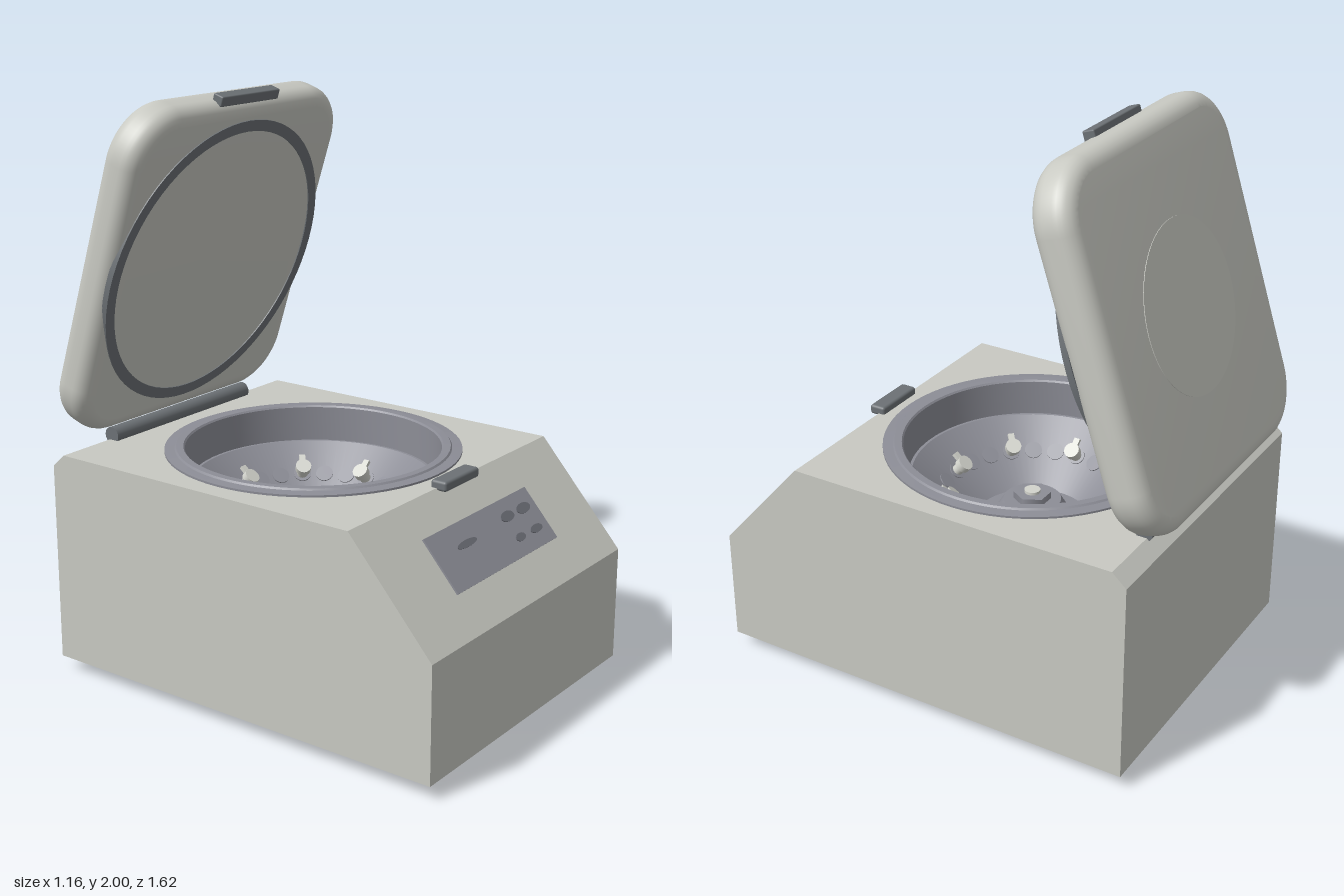
import * as THREE from 'three';
import { toCreasedNormals, mergeGeometries } from 'three/addons/utils/BufferGeometryUtils.js';
import { RoundedBoxGeometry } from 'three/addons/geometries/RoundedBoxGeometry.js';

const mat = (name, color) => {
  const m = new THREE.MeshStandardMaterial({ color });
  m.name = name;
  return m;
};

export function createModel() {
  const housing = mat('housing grey', 0xc8c9c2);
  const metal = mat('rotor metal', 0x8c8d96);
  const dark = mat('dark trim', 0x6c7175);
  const rubber = mat('rubber feet', 0x74757c);
  const pale = mat('tube white', 0xd2d3cc);
  const print = mat('button grey', 0x6b6d75);

  const model = new THREE.Group();
  const add = (name, geo, material, x = 0, y = 0, z = 0, parent = model) => {
    const mesh = new THREE.Mesh(geo, material);
    mesh.name = name;
    mesh.position.set(x, y, z);
    parent.add(mesh);
    return mesh;
  };
  const group = (name, parent = model) => {
    const g = new THREE.Group();
    g.name = name;
    parent.add(g);
    return g;
  };
  const lathe = (pts, segments = 72) =>
    toCreasedNormals(new THREE.LatheGeometry(pts.map(p => new THREE.Vector2(...p)), segments), 0.5);

  // Housing: side profile as [z, y], running from front bottom over the top to back bottom
  const W = 0.58, bowlZ = -0.07;
  const profile = [[0.81, 0.05], [0.81, 0.45], [0.5, 0.8], [-0.69, 0.8], [-0.74, 0.755], [-0.74, 0.05]];
  const panels = [];
  profile.forEach(([z0, y0], i) => {
    if (i === 2) return; // the top plate has a hole and is made below
    const [z1, y1] = profile[(i + 1) % profile.length];
    const a = [-W, y0, z0], b = [W, y0, z0], c = [W, y1, z1], d = [-W, y1, z1];
    const g = new THREE.BufferGeometry();
    g.setAttribute('position', new THREE.Float32BufferAttribute([a, b, c, a, c, d].flat(), 3));
    g.computeVertexNormals();
    panels.push(g);
  });
  for (const s of [-1, 1]) {
    const shape = new THREE.Shape(profile.map(([z, y]) => new THREE.Vector2(-s * z, y)));
    panels.push(new THREE.ShapeGeometry(shape).rotateY(s * Math.PI / 2).translate(s * W, 0, 0));
  }
  const topShape = new THREE.Shape([[-W, -0.5], [W, -0.5], [W, 0.69], [-W, 0.69]].map(p => new THREE.Vector2(...p)));
  topShape.holes.push(new THREE.Path().absarc(0, -bowlZ, 0.47, 0, Math.PI * 2, true));
  panels.push(new THREE.ShapeGeometry(topShape, 36).rotateX(-Math.PI / 2).translate(0, 0.8, 0));
  const plain = panels.map(p => {
    const g = p.index ? p.toNonIndexed() : p;
    g.deleteAttribute('uv');
    return g;
  });
  add('housing', mergeGeometries(plain), housing);

  // Feet
  const footGeo = lathe([[0, 0], [0.043, 0], [0.05, 0.01], [0.05, 0.05]], 32);
  for (const x of [-0.455, 0.455])
    for (const z of [0.66, -0.58]) add('foot', footGeo, rubber, x, 0, z);

  // Chamber rim and wall
  const chamber = group('chamber');
  chamber.position.z = bowlZ;
  add('chamberWall', lathe([[0.51, 0.8], [0.51, 0.807], [0.475, 0.81], [0.47, 0.816], [0.445, 0.816],
    [0.44, 0.81], [0.44, 0.63], [0.4, 0.63]]), metal, 0, 0, 0, chamber);

  // Rotor: cone, flat floor and raised hub
  add('rotor', lathe([[0.425, 0.64], [0.425, 0.69], [0.415, 0.69], [0.2, 0.5], [0.13, 0.5], [0.13, 0.53],
    [0.1, 0.58], [0.075, 0.58], [0, 0.58]]), metal, 0, 0, 0, chamber);
  add('rotorNut', new THREE.CylinderGeometry(0.065, 0.065, 0.03, 6).toNonIndexed().rotateY(Math.PI / 6), metal,
    0, 0.59, 0, chamber);
  add('spindleTip', new THREE.CylinderGeometry(0.028, 0.028, 0.03, 24), pale, 0, 0.6, 0, chamber);

  // Tube sockets around the cone, every third one holding a capped tube
  const socketGeo = new THREE.CylinderGeometry(0.031, 0.031, 0.008, 20);
  const capGeo = new THREE.CylinderGeometry(0.028, 0.028, 0.025, 16);
  const neckGeo = new THREE.CylinderGeometry(0.02, 0.02, 0.04, 16);
  const tabGeo = new THREE.BoxGeometry(0.022, 0.012, 0.03);
  for (let i = 0; i < 24; i++) {
    const spoke = group('socketSpoke', chamber);
    spoke.rotation.y = i / 24 * Math.PI * 2;
    const seat = group('socketSeat', spoke);
    seat.position.set(0, 0.598, 0.31);
    seat.rotation.x = -0.72;
    add('tubeSocket', socketGeo, metal, 0, 0, 0, seat);
    if (i % 3) continue;
    add('tubeNeck', neckGeo, pale, 0, 0.02, 0, seat);
    add('tubeCap', capGeo, pale, 0, 0.045, 0, seat);
    add('tubeCapTab', tabGeo, pale, 0, 0.045, 0.035, seat);
  }

  // Control panel on the front slope
  const panel = group('controlPanel');
  panel.position.set(0, 0.63, 0.651);
  panel.rotation.x = -Math.atan2(0.31, 0.35);
  add('panelPlate', new THREE.BoxGeometry(0.61, 0.2, 0.008), metal, 0, 0, 0.002, panel);
  const buttonGeo = new THREE.CylinderGeometry(0.5, 0.5, 0.004, 28).rotateX(Math.PI / 2);
  for (const [x, y, w, h] of [[0.13, 0.04, 0.075, 0.036], [0.23, 0.04, 0.08, 0.036],
    [0.13, -0.04, 0.055, 0.028], [0.23, -0.04, 0.07, 0.028], [-0.13, 0.025, 0.11, 0.024]])
    add('panelButton', buttonGeo, print, x, y, 0.007, panel).scale.set(w, h, 1);

  // Front catch and rear hinge
  add('frontCatch', new RoundedBoxGeometry(0.2, 0.035, 0.06, 3, 0.01), dark, 0, 0.808, 0.507);
  add('hingeBar', new THREE.CylinderGeometry(0.03, 0.03, 0.71, 28).rotateZ(Math.PI / 2), dark, 0, 0.816, -0.68);

  // Open lid, leaning forward over the hinge
  const lid = group('lid');
  lid.position.set(0, 1.415, -0.567);
  lid.rotation.x = Math.PI / 10;
  const bevel = 0.055, T = 0.145, hw = 0.54 - bevel, hh = 0.597 - bevel, r = 0.14;
  const outline = new THREE.Shape();
  outline.absarc(hw - r, hh - r, r, 0, Math.PI / 2);
  outline.absarc(r - hw, hh - r, r, Math.PI / 2, Math.PI);
  outline.absarc(r - hw, r - hh, r, Math.PI, Math.PI * 1.5);
  outline.absarc(hw - r, r - hh, r, Math.PI * 1.5, Math.PI * 2);
  const lidGeo = new THREE.ExtrudeGeometry(outline, {
    depth: T - 2 * bevel, bevelThickness: bevel, bevelSize: bevel, bevelSegments: 6, curveSegments: 10,
  }).translate(0, 0, bevel - T / 2);
  add('lidShell', toCreasedNormals(lidGeo, 0.6), housing, 0, 0, 0, lid);

  // Flat seal ring inside the lid, round plate on its back, catch at its edge
  const ring = new THREE.Shape().absarc(0, 0, 0.53, 0, Math.PI * 2);
  ring.holes.push(new THREE.Path().absarc(0, 0, 0.49, 0, Math.PI * 2, true));
  const ringGeo = new THREE.ExtrudeGeometry(ring, { depth: 0.022, bevelEnabled: false, curveSegments: 36 });
  add('lidSeal', toCreasedNormals(ringGeo, 0.5), dark, 0, 0, T / 2 - 0.018, lid);
  add('lidBackPlate', new THREE.CylinderGeometry(0.283, 0.283, 0.004, 64).rotateX(Math.PI / 2), housing,
    0, 0, -T / 2, lid);
  add('lidCatch', new RoundedBoxGeometry(0.3, 0.036, 0.042, 2, 0.005), dark, 0, 0.602, 0.036, lid);

  return model;
}
